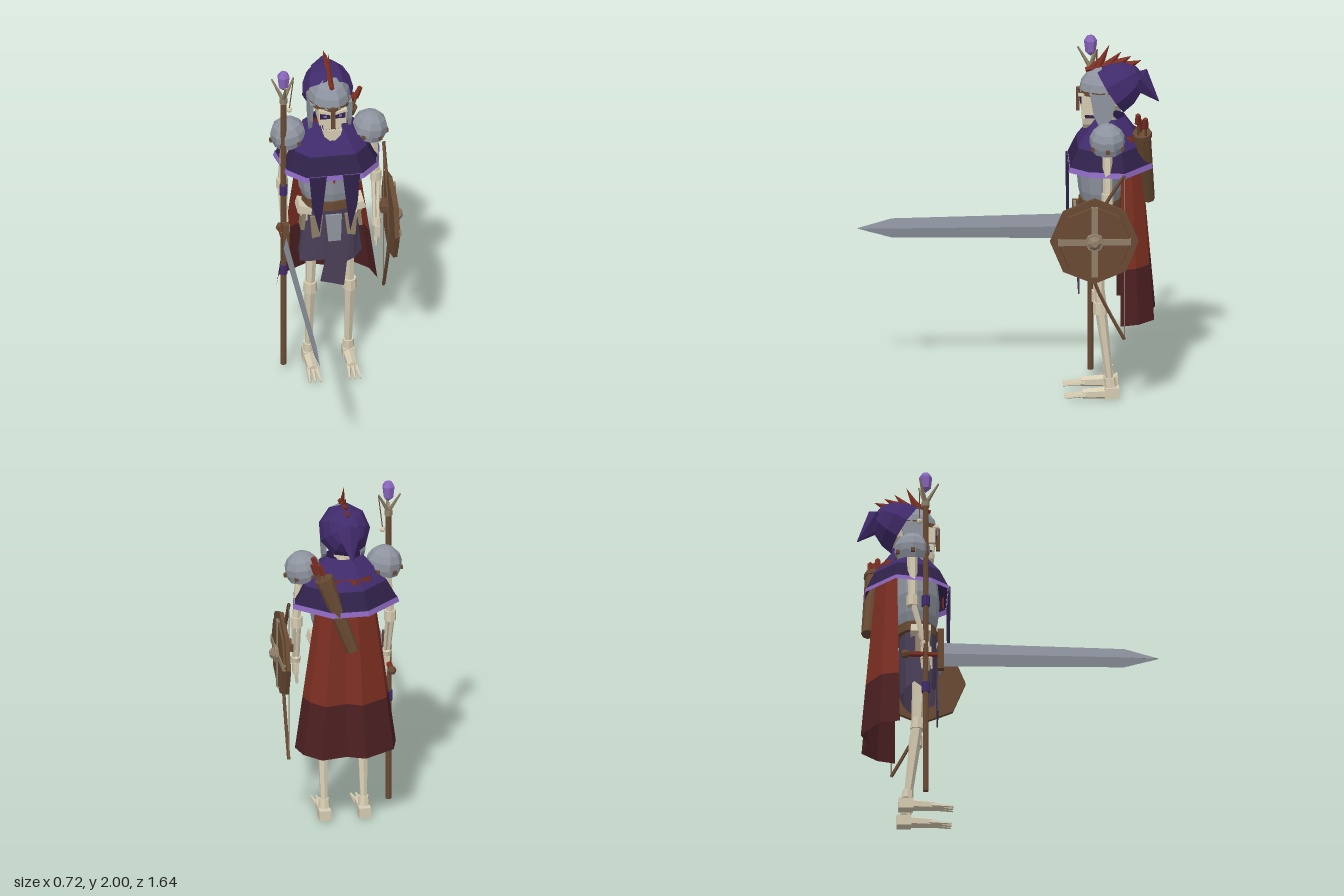
import * as THREE from 'three';

export function createModel() {
  const mat = (name, color) => new THREE.MeshStandardMaterial({ name, color, flatShading: true, side: THREE.DoubleSide });
  const bone = mat('bone', 0xd6ccb2), steel = mat('steel', 0x8e949f), leather = mat('leather', 0x684a33);
  const tan = mat('tan', 0x8f7f68), purple = mat('purple', 0x412b6c), darkPurple = mat('dark purple', 0x30224a);
  const lilac = mat('lilac', 0x8a66bd), red = mat('red', 0x7d2f22), darkRed = mat('dark red', 0x4c2022), cloth = mat('cloth', 0x4a3f58);

  const root = new THREE.Group();
  const body = new THREE.Group();
  body.name = 'skeletonWarrior';
  body.position.x = -0.037;
  root.add(body);

  const add = (parent, name, geo, m, p = [0, 0, 0], r = [0, 0, 0], s = [1, 1, 1]) => {
    const mesh = new THREE.Mesh(geo, m);
    mesh.name = name;
    mesh.position.set(...p);
    mesh.rotation.set(...r);
    mesh.scale.set(...s);
    parent.add(mesh);
    return mesh;
  };
  const box = (parent, name, m, size, p, r) => add(parent, name, new THREE.BoxGeometry(...size), m, p, r);
  // tapered rod from a (radius ra) to b (radius rb)
  const rod = (parent, name, m, a, b, ra, rb = ra, sides = 6) => {
    const A = new THREE.Vector3(...a), B = new THREE.Vector3(...b), d = B.clone().sub(A);
    const mesh = add(parent, name, new THREE.CylinderGeometry(rb, ra, d.length(), sides), m);
    mesh.position.copy(A).add(B).multiplyScalar(0.5);
    mesh.quaternion.setFromUnitVectors(new THREE.Vector3(0, 1, 0), d.normalize());
    return mesh;
  };
  // surface through rows of points
  const loft = (rows, closed = false) => {
    const n = rows[0].length, idx = [];
    for (let j = 0; j < rows.length - 1; j++) for (let i = 0; i < (closed ? n : n - 1); i++) {
      const a = j * n + i, b = j * n + (i + 1) % n;
      idx.push(a, a + n, b, b, a + n, b + n);
    }
    const g = new THREE.BufferGeometry();
    g.setAttribute('position', new THREE.Float32BufferAttribute(rows.flat(2), 3));
    g.setIndex(idx);
    g.computeVertexNormals();
    return g;
  };
  const plate = (parent, name, m, pts, z, depth = 0.008, rx = 0) => {
    const s = new THREE.Shape(pts.map(p => new THREE.Vector2(...p)));
    return add(parent, name, new THREE.ExtrudeGeometry(s, { depth, bevelEnabled: false }), m, [0, 0, z], [rx, 0, 0]);
  };

  for (const s of [-1, 1]) {
    // legs and clawed feet
    const x = s * 0.11;
    rod(body, 'thigh', bone, [s * 0.1, 0.95, -0.48], [x, 0.53, -0.495], 0.034, 0.027);
    rod(body, 'knee', bone, [x, 0.485, -0.497], [x, 0.55, -0.493], 0.04, 0.036, 8);
    rod(body, 'shin', bone, [x, 0.5, -0.5], [x, 0.08, -0.55], 0.032, 0.02);
    rod(body, 'ankle', bone, [x, 0.065, -0.553], [x, 0.115, -0.547], 0.034, 0.03, 8);
    box(body, 'heel', bone, [0.065, 0.06, 0.08], [x, 0.03, -0.56]);
    rod(body, 'midfoot', bone, [x, 0.028, -0.53], [x, 0.024, -0.4], 0.034, 0.028);
    for (const t of [-1, 0, 1])
      rod(body, 'toe', bone, [x + t * 0.02, 0.022, -0.42], [x + t * 0.03, 0.012, -0.3], 0.014, 0.007, 5);

    // arms
    rod(body, 'upperArm', bone, [s * 0.235, 1.5, -0.53], [s * 0.26, 1.22, -0.53], 0.03, 0.024);
    rod(body, 'elbow', bone, [s * 0.26, 1.16, -0.53], [s * 0.26, 1.22, -0.53], 0.033, 0.033, 8);
    for (const t of [-1, 1])
      rod(body, 'forearm', bone, [s * 0.26 + t * 0.014, 1.19, -0.53], [s * 0.252 + t * 0.01, 0.93, -0.46], 0.014, 0.011, 5);
    rod(body, 'wrist', bone, [s * 0.252, 0.91, -0.455], [s * 0.252, 0.95, -0.465], 0.026, 0.026, 8);
    box(body, 'palm', bone, [0.03, 0.07, 0.06], [s * 0.252, 0.88, -0.455]);
    for (let f = 0; f < 4; f++)
      rod(body, 'finger', bone, [s * 0.25, 0.86, -0.48 + f * 0.017], [s * 0.245, 0.775 + Math.abs(f - 1.5) * 0.012, -0.475 + f * 0.017], 0.009, 0.006, 5);

    // shoulder armour with rivets
    const px = s * 0.226;
    add(body, 'pauldron', new THREE.SphereGeometry(0.1, 9, 4, 0, Math.PI * 2, 0, Math.PI * 0.56), steel, [px, 1.51, -0.53], [0, 0, -s * 0.16]);
    add(body, 'pauldronRim', new THREE.CylinderGeometry(0.094, 0.082, 0.045, 9, 1, true), steel, [px, 1.475, -0.53], [0, 0, -s * 0.16]);
    for (let i = 0; i < 6; i++) {
      const a = i * Math.PI / 3;
      box(body, 'rivet', leather, [0.02, 0.02, 0.02], [px + Math.cos(a) * 0.093, 1.487 - Math.cos(a) * s * 0.012, -0.53 + Math.sin(a) * 0.093]);
    }

    // pelvis wings, belt pouches, cloth tails of the mantle
    box(body, 'hipBone', bone, [0.12, 0.045, 0.11], [s * 0.125, 1.055, -0.48], [0, 0, s * 0.25]);
    rod(body, 'hipJoint', bone, [s * 0.16, 1.05, -0.47], [s * 0.11, 0.95, -0.47], 0.03, 0.026);
    plate(body, 'beltPlate', tan, [[s * 0.06, 1.06], [s * 0.13, 1.06], [s * 0.12, 0.92], [s * 0.075, 0.93]], -0.372, 0.015);
    box(body, 'sideTasset', tan, [0.02, 0.12, 0.08], [s * 0.155, 0.99, -0.47], [0, 0, s * 0.1]);
    plate(body, 'mantleTail', darkPurple, [[s * 0.045, 1.34], [s * 0.14, 1.34], [s * 0.125, 1.15], [s * 0.085, 0.98], [s * 0.065, 1.15]], -0.325);
  }

  // torso
  const profile = [[0.145, 1.1], [0.172, 1.18], [0.187, 1.29], [0.17, 1.42], [0.07, 1.48]].map(p => new THREE.Vector2(...p));
  add(body, 'breastplate', new THREE.LatheGeometry(profile, 12), steel, [0, 0, -0.5], [0, 0, 0], [1, 1, 0.7]);
  add(body, 'belt', new THREE.CylinderGeometry(0.155, 0.157, 0.055, 12), leather, [0, 1.1, -0.5], [0, 0, 0], [1, 1, 0.76]);
  rod(body, 'spine', bone, [0, 0.95, -0.52], [0, 1.12, -0.52], 0.04);
  plate(body, 'redTie', red, [[-0.02, 1.33], [0.02, 1.33], [0, 1.27]], -0.355);
  rod(body, 'neck', bone, [0, 1.44, -0.55], [0, 1.64, -0.53], 0.04, 0.035, 8);

  // skirt with a ragged hem and a torn front strip
  const skirtRow = (y, hw, hd, jag) => Array.from({ length: 12 }, (_, i) => {
    const a = (i + 0.5) / 12 * Math.PI * 2;
    return [Math.sin(a) * hw, y + jag * (i % 3), -0.49 + Math.cos(a) * hd];
  });
  add(body, 'skirt', loft([skirtRow(1.07, 0.145, 0.105, 0), skirtRow(0.9, 0.16, 0.105, 0), skirtRow(0.71, 0.178, 0.1, 0.02)], true), cloth);
  plate(body, 'tornStrip', cloth, [[-0.05, 1.02], [0.09, 1.02], [0.09, 0.87], [0.06, 0.58], [0.0, 0.6], [-0.07, 0.62], [-0.03, 0.82]], -0.385);
  plate(body, 'frontTasset', steel, [[-0.045, 1.06], [0.045, 1.06], [0.04, 0.89], [-0.03, 0.89]], -0.37, 0.012);

  // shoulder mantle
  const half = [[0.16, 0.23], [0.255, 0.13], [0.293, -0.07], [0.1, -0.23]];
  const outline = [...half, ...half.map(([x, z]) => [-x, z]).reverse()];
  const ring = (y, k) => outline.map(([x, z]) => [x * k, y, -0.553 + z * k]);
  add(body, 'mantleTop', loft([ring(1.59, 0.34), ring(1.44, 0.78)], true), purple);
  add(body, 'mantleSkirt', loft([ring(1.44, 0.78), ring(1.337, 0.97)], true), darkPurple);
  add(body, 'mantleTrim', loft([ring(1.34, 0.975), ring(1.312, 1.01)], true), lilac);

  // long cape with folds
  const hem = [[-0.28, -0.6], [-0.25, -0.71], [-0.08, -0.805], [0.02, -0.765], [0.16, -0.79], [0.25, -0.7], [0.28, -0.6]];
  const capeRow = y => {
    const t = (1.5 - y) / 1.04;
    return hem.map(([x, z]) => [x * (0.5 + 0.5 * t), y, -0.62 + (z + 0.62) * (0.5 + 0.5 * t)]);
  };
  add(body, 'cape', loft([capeRow(1.5), capeRow(1.1), capeRow(0.77)]), red);
  add(body, 'capeHem', loft([capeRow(0.77), capeRow(0.46)]), darkRed);

  // skull
  add(body, 'cranium', new THREE.SphereGeometry(0.11, 10, 6), bone, [0, 1.72, -0.54], [0, 0, 0], [0.95, 1, 1.2]);
  box(body, 'face', bone, [0.15, 0.1, 0.12], [0, 1.685, -0.455]);
  box(body, 'upperJaw', bone, [0.1, 0.05, 0.12], [0, 1.625, -0.46]);
  plate(body, 'jaw', bone, [[-0.055, 1.585], [0.055, 1.585], [0.045, 1.55], [0.015, 1.52], [-0.015, 1.52], [-0.045, 1.55]], -0.49, 0.085);
  box(body, 'mouth', darkPurple, [0.1, 0.025, 0.07], [0, 1.593, -0.45]);
  for (let i = 0; i < 6; i++) for (const y of [1.604, 1.583])
    box(body, 'tooth', bone, [0.012, 0.017, 0.012], [-0.0425 + i * 0.017, y, -0.405]);
  for (const s of [-1, 1]) {
    box(body, 'eyeSocket', darkPurple, [0.055, 0.04, 0.008], [s * 0.042, 1.695, -0.393]);
    box(body, 'eyeGlow', lilac, [0.018, 0.012, 0.006], [s * 0.042, 1.692, -0.388]);
    box(body, 'browRidge', bone, [0.07, 0.016, 0.025], [s * 0.045, 1.722, -0.39], [0, 0, s * 0.25]);
    const cheek = plate(body, 'cheekGuard', steel, [[-0.09, 1.74], [0.06, 1.74], [0.04, 1.62], [0, 1.54], [-0.06, 1.6]], 0, 0.018);
    cheek.rotation.y = -Math.PI / 2;
    cheek.position.set(s * 0.108 + 0.009, 0, -0.5);
  }

  // helmet, hood and crest
  add(body, 'helmet', new THREE.SphereGeometry(0.125, 10, 4, 0, Math.PI * 2, 0, Math.PI / 2), steel, [0, 1.735, -0.53], [0, 0, 0], [0.95, 1.1, 1.2]);
  add(body, 'browBand', new THREE.CylinderGeometry(0.125, 0.125, 0.025, 10, 1, true), leather, [0, 1.735, -0.53], [0, 0, 0], [0.97, 1, 1.23]);
  box(body, 'noseGuard', leather, [0.024, 0.13, 0.02], [0, 1.685, -0.378]);
  add(body, 'hood', new THREE.SphereGeometry(0.148, 9, 4, 0, Math.PI * 2, 0, Math.PI / 2), purple, [0, 1.735, -0.555], [-1.01, 0, 0], [0.97, 1.32, 1.02]);
  rod(body, 'hoodTail', purple, [0, 1.8, -0.7], [0, 1.665, -0.82], 0.075, 0.003, 5);
  const spikes = [[-0.455, 1.85, -0.5, 1.92], [-0.49, 1.865, -0.55, 1.99], [-0.545, 1.875, -0.615, 1.95],
    [-0.6, 1.885, -0.67, 1.925], [-0.65, 1.87, -0.725, 1.9]];
  for (const [z0, y0, z1, y1] of spikes) rod(body, 'crestSpike', red, [0, y0, z0], [0, y1, z1], 0.027, 0.001, 4).scale.x = 0.6;
  rod(body, 'crestRidge', red, [0, 1.85, -0.42], [0, 1.9, -0.62], 0.014, 0.014, 4);

  // quiver with arrows
  rod(root, 'quiver', leather, [-0.05, 1.1, -0.765], [0.1, 1.52, -0.725], 0.035, 0.047, 8);
  rod(root, 'quiverRim', leather, [0.093, 1.5, -0.727], [0.104, 1.53, -0.724], 0.053, 0.053, 8);
  [[-0.02, 0.01], [0.02, -0.015], [0.01, 0.025]].forEach(([dx, dz], i) => {
    const tip = [0.15 + dx, 1.61 + i * 0.02, -0.725 + dz];
    rod(root, 'arrowShaft', leather, [0.09 + dx, 1.46, -0.73 + dz], tip, 0.007);
    rod(root, 'arrowFletching', red, [tip[0] - 0.024, tip[1] - 0.06, tip[2]], tip, 0.018, 0.014, 4);
  });

  // staff with crystal
  const sx = -0.3, sz = -0.458;
  rod(root, 'staff', leather, [sx, 0.045, sz], [sx, 1.79, sz], 0.016, 0.016, 8);
  for (const y of [0.67, 1.19]) rod(root, 'staffWrap', purple, [sx, y - 0.03, sz], [sx, y + 0.03, sz], 0.023, 0.023, 8);
  rod(root, 'staffCollar', tan, [sx, 1.76, sz], [sx, 1.79, sz], 0.022, 0.022, 8);
  for (let i = 0; i < 3; i++) {
    const a = i * Math.PI * 2 / 3;
    rod(root, 'staffProng', tan, [sx, 1.78, sz], [sx + Math.sin(a) * 0.07, 1.9, sz + Math.cos(a) * 0.07], 0.013, 0.005, 5);
  }
  const gem = [[0, 1.845], [0.028, 1.87], [0.036, 1.935], [0.02, 1.96], [0, 1.962]].map(p => new THREE.Vector2(...p));
  add(root, 'crystal', new THREE.LatheGeometry(gem, 6), lilac, [sx, 0, sz]);
  rod(root, 'charmCord', leather, [-0.24, 1.89, -0.49], [-0.262, 1.7, -0.49], 0.003);
  add(root, 'boneCharm', new THREE.SphereGeometry(0.016, 6, 4), bone, [-0.262, 1.69, -0.49]);

  // sword pointing forward
  const section = (z, h, t) => [[sx, 0.87 + h, z], [sx + t, 0.87, z], [sx, 0.87 - h, z], [sx - t, 0.87, z]];
  add(root, 'swordBlade', loft([section(-0.37, 0.071, 0.015), section(0.63, 0.055, 0.011), section(0.82, 0.001, 0.001)], true), steel);
  box(root, 'swordGuard', leather, [0.036, 0.24, 0.035], [sx, 0.9, -0.375]);
  rod(root, 'swordGrip', red, [sx, 0.87, -0.56], [sx, 0.87, -0.375], 0.016);
  add(root, 'swordPommel', new THREE.SphereGeometry(0.026, 6, 4), leather, [sx, 0.87, -0.57]);

  // octagonal shield facing the model's left
  const sc = [0, 0.97, -0.455];
  const disc = (name, m, x0, x1, r0, r1) => rod(root, name, m, [x0, sc[1], sc[2]], [x1, sc[1], sc[2]], r0, r1, 8);
  disc('shieldBoard', leather, 0.28, 0.303, 0.243, 0.243);
  disc('shieldFace', leather, 0.3, 0.315, 0.205, 0.2);
  box(root, 'shieldCross', tan, [0.02, 0.4, 0.036], [0.311, sc[1], sc[2]]);
  box(root, 'shieldCross', tan, [0.02, 0.036, 0.4], [0.311, sc[1], sc[2]]);
  disc('shieldBoss', tan, 0.312, 0.335, 0.054, 0.05);
  disc('shieldBossTip', tan, 0.335, 0.358, 0.04, 0.018);
  box(root, 'shieldStrap', leather, [0.05, 0.04, 0.09], [0.26, 1.02, -0.47]);

  // bow
  const bow = new THREE.CatmullRomCurve3([[1.34, -0.62], [1.2, -0.53], [1.05, -0.455], [0.87, -0.425], [0.72, -0.46], [0.55, -0.54], [0.4, -0.62]]
    .map(([y, z]) => new THREE.Vector3(0.28, y, z)));
  add(root, 'bow', new THREE.TubeGeometry(bow, 14, 0.01, 5), leather);
  rod(root, 'bowString', tan, [0.28, 0.4, -0.62], [0.28, 1.34, -0.62], 0.003, 0.003, 4);

  return root;
}
